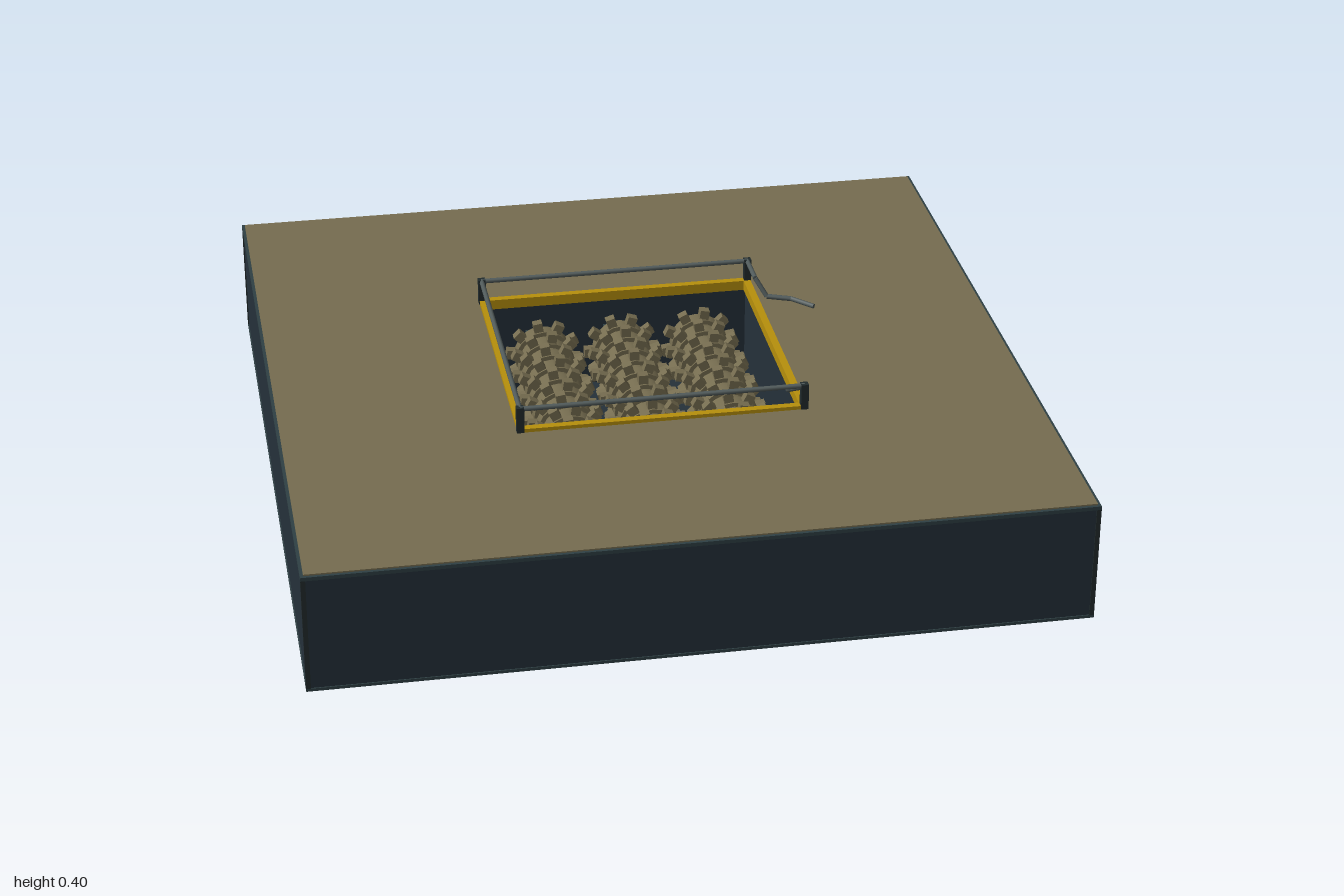
import * as THREE from 'three';

const mat = (name, color) => {
  const m = new THREE.MeshStandardMaterial({ color });
  m.name = name;
  return m;
};

export function createModel() {
  const root = new THREE.Group();
  root.name = 'shredderPit';

  const wall = mat('darkSlate', 0x25313a);
  const edge = mat('edgeSteel', 0x2f4044);
  const ground = mat('dustyTan', 0x766d50);
  const yellow = mat('hazardYellow', 0xb8900c);
  const rail = mat('railGrey', 0x525c5c);
  const post = mat('postDark', 0x222b2d);

  const add = (parent, name, geometry, material, x = 0, y = 0, z = 0) => {
    const m = new THREE.Mesh(geometry, material);
    m.name = name;
    m.position.set(x, y, z);
    parent.add(m);
    return m;
  };
  const box = (parent, name, material, w, h, d, x, y, z) =>
    add(parent, name, new THREE.BoxGeometry(w, h, d), material, x, y, z);

  // Square ring lying flat between heights y0 and y1
  const ring = (name, material, outer, inner, y0, y1) => {
    const square = (P, r) => {
      const p = new P();
      p.moveTo(-r, -r).lineTo(r, -r);
      p.lineTo(r, r);
      p.lineTo(-r, r);
      p.closePath();
      return p;
    };
    const s = square(THREE.Shape, outer);
    s.holes.push(square(THREE.Path, inner));
    const g = new THREE.ExtrudeGeometry(s, { depth: y1 - y0, bevelEnabled: false });
    g.rotateX(-Math.PI / 2);
    return add(root, name, g, material, 0, y0, 0);
  };
  // Straight round bar between two points
  const bar = (parent, name, material, a, b, r) => {
    const va = new THREE.Vector3(...a), vb = new THREE.Vector3(...b);
    const d = vb.clone().sub(va);
    const m = add(parent, name, new THREE.CylinderGeometry(r, r, d.length(), 8), material);
    m.position.copy(va).add(vb).multiplyScalar(0.5);
    m.quaternion.setFromUnitVectors(new THREE.Vector3(0, 1, 0), d.normalize());
    return m;
  };

  // Slab with its open pit
  box(root, 'pitFloor', wall, 1.994, 0.05, 1.994, 0, 0.028, 0);
  ring('slabBody', wall, 0.997, 0.37, 0.053, 0.316);
  ring('topEdgeTrim', edge, 1, 0.37, 0.316, 0.326);
  ring('groundSurface', ground, 0.992, 0.37, 0.326, 0.33);
  ring('baseTrim', edge, 1, 0.994, 0, 0.008);
  for (const x of [-1, 1]) for (const z of [-1, 1])
    box(root, 'cornerStrip', post, 0.012, 0.308, 0.012, x * 0.994, 0.162, z * 0.994);

  // Yellow kerb around the opening
  ring('hazardKerb', yellow, 0.384, 0.364, 0.312, 0.34);

  // Toothed rollers
  const coreR = 0.068, discR = 0.08, axisY = 0.2;
  for (let i = -1; i <= 1; i++) {
    const roller = new THREE.Group();
    roller.name = 'roller';
    roller.position.set(i * 0.22, axisY, 0);
    root.add(roller);
    const drum = (name, material, r, len, z, sides = 20) => {
      const g = new THREE.CylinderGeometry(r, r, len, sides);
      g.rotateX(Math.PI / 2);
      add(roller, name, g, material, 0, 0, z);
    };
    drum('core', ground, coreR, 0.65, 0);
    drum('axle', edge, 0.04, 0.738, 0, 16);
    for (let k = -4; k <= 4; k++) {
      const z = k * 0.07;
      drum('cutterDisc', ground, discR, 0.036, z);
      for (let t = 0; t < 10; t++) {
        const a = (t + (k & 1) * 0.5 + i * 0.25) / 10 * Math.PI * 2;
        const tooth = box(roller, 'tooth', ground, 0.034, 0.026, 0.026,
          Math.cos(a) * 0.088, Math.sin(a) * 0.088, z);
        tooth.rotation.z = a;
      }
    }
    // Bearing blocks on the pit walls
    for (const s of [-1, 1])
      box(roller, 'bearing', edge, 0.075, 0.075, 0.02, 0, 0, s * 0.357);
  }

  // Guard rail: corner posts and three whole sides
  const R = 0.376, top = 0.396;
  for (const x of [-1, 1]) for (const z of [-1, 1])
    box(root, 'railPost', post, 0.02, 0.075, 0.02, x * R, 0.3645, z * R);
  bar(root, 'backRail', rail, [-R, top, -R], [R, top, -R], 0.007);
  bar(root, 'frontRail', rail, [-R, top, R], [R, top, R], 0.007);
  bar(root, 'rightRail', rail, [-R, top, -R], [-R, top, R], 0.007);

  // Broken side: bent length and hanging stub
  const bent = [[R, top, -R], [R, top, -0.265], [0.405, 0.348, -0.243],
    [0.47, 0.344, -0.225], [0.525, 0.338, -0.18]];
  for (let i = 0; i + 1 < bent.length; i++)
    bar(root, 'brokenRail', rail, bent[i], bent[i + 1], 0.007);
  bar(root, 'railStub', rail, [R, 0.393, R], [0.342, 0.36, 0.325], 0.007);

  return root;
}
